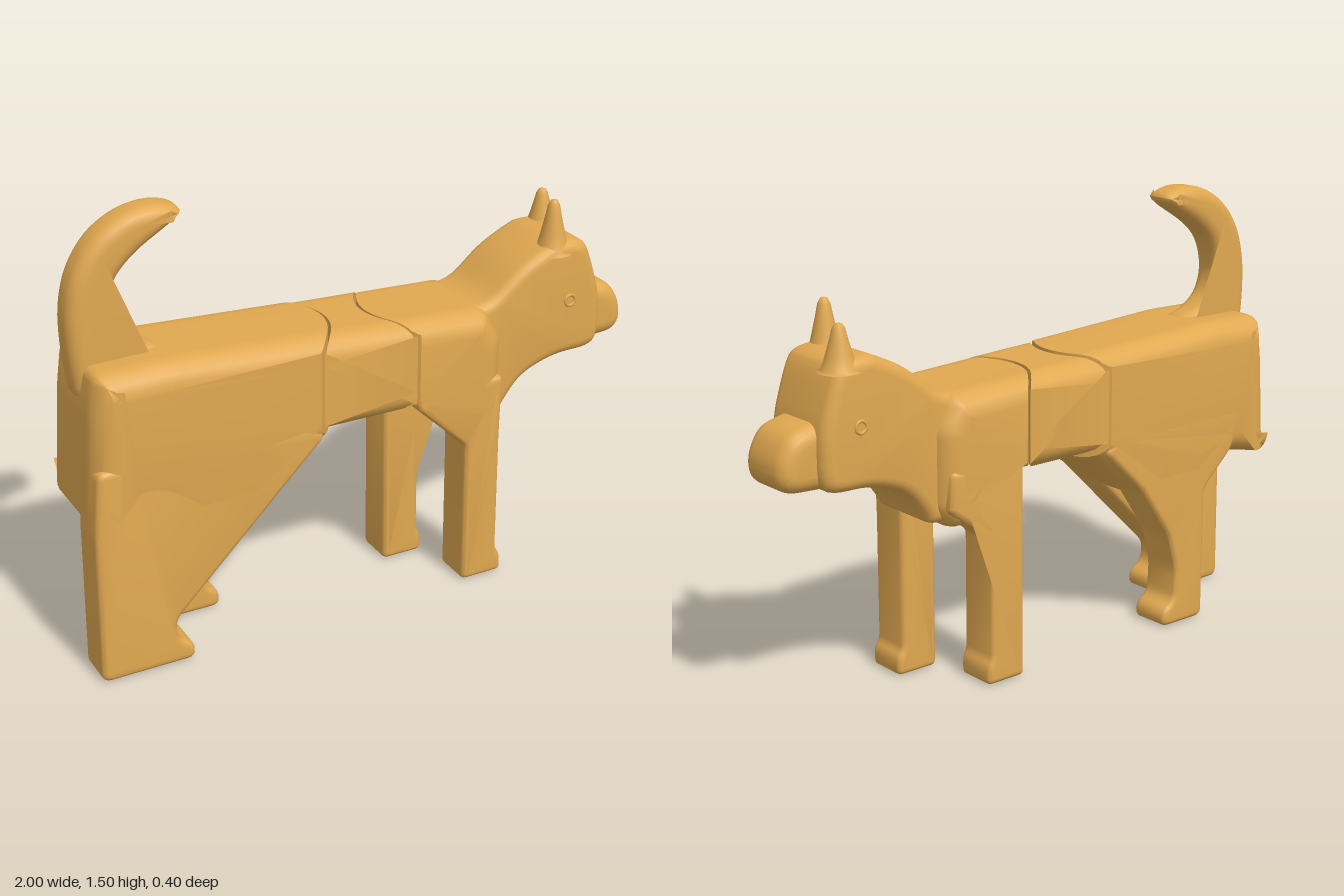
import * as THREE from 'three';
import { toCreasedNormals } from 'three/addons/utils/BufferGeometryUtils.js';

const material = new THREE.MeshStandardMaterial({ color: 0xe0a850 });

// Closed outline whose corners are rounded by up to r
function roundedShape(points, r) {
  const p = points.map(([x, y]) => new THREE.Vector2(x, y));
  const shape = new THREE.Shape();
  p.forEach((corner, i) => {
    const prev = p[(i + p.length - 1) % p.length];
    const next = p[(i + 1) % p.length];
    const toward = (q) => corner.clone().lerp(q, Math.min(0.45, r / corner.distanceTo(q)));
    const a = toward(prev), b = toward(next);
    if (i === 0) shape.moveTo(a.x, a.y);
    else shape.lineTo(a.x, a.y);
    shape.quadraticCurveTo(corner.x, corner.y, b.x, b.y);
  });
  shape.closePath();
  return shape;
}

// Side outline extruded from z0 to z1 with rounded edges; rule may bend the vertices
function slab(name, points, z0, z1, { r = 0.04, bevel = 0.02, steps = 1, rule } = {}) {
  const geometry = new THREE.ExtrudeGeometry(roundedShape(points, r), {
    depth: z1 - z0 - 2 * bevel, steps, curveSegments: 4,
    bevelEnabled: true, bevelThickness: bevel, bevelSize: bevel, bevelOffset: -bevel, bevelSegments: 5,
  });
  geometry.translate(0, 0, z0 + bevel);
  if (rule) {
    const pos = geometry.attributes.position;
    for (let i = 0; i < pos.count; i++) pos.setX(i, rule(pos.getX(i), pos.getZ(i)));
  }
  const mesh = new THREE.Mesh(toCreasedNormals(geometry, 0.6), material);
  mesh.name = name;
  return mesh;
}

// Curved joints between the three body sections
const bow = (z) => 0.1 * (z / 0.2) ** 2;
const rearCut = (z) => -0.12 - bow(z);
const frontCut = (z) => 0.04 + bow(z);
const GAP = 0.012;

function ear(x, z, height) {
  const profile = [[0.07, -0.05], [0.056, 0], [0.042, 0.3], [0.028, 0.65], [0.02, 0.88], [0.012, 0.97], [0, 1]]
    .map(([r, h]) => new THREE.Vector2(r, h * height));
  const mesh = new THREE.Mesh(new THREE.LatheGeometry(profile, 20), material);
  mesh.position.set(x, 1.12, z);
  mesh.name = 'ear';
  return mesh;
}

export function createModel() {
  const model = new THREE.Group();
  const body = { bevel: 0.08, steps: 14, r: 0.03 };

  // Body sections
  model.add(slab('rearBody', [
    [-0.12, 0.69], [-0.12, 1.015], [-0.72, 1.045], [-0.95, 1.04], [-0.97, 0.9],
    [-0.995, 0.53], [-0.8, 0.57], [-0.66, 0.47], [-0.42, 0.47], [-0.22, 0.69],
  ], -0.2, 0.2, { ...body, rule: (x, z) => (x > -0.31 ? rearCut(z) : x) }));
  model.add(slab('middleBody', [
    [-0.2, 0.685], [0.13, 0.685], [0.13, 1.0], [-0.2, 1.012],
  ], -0.2, 0.2, { ...body, rule: (x, z) => (x < -0.04 ? rearCut(z) + GAP : frontCut(z) - GAP) }));
  model.add(slab('frontBody', [
    [0.04, 0.69], [0.21, 0.69], [0.33, 0.55], [0.42, 0.55], [0.47, 0.62],
    [0.47, 0.88], [0.41, 0.985], [0.04, 1.0],
  ], -0.2, 0.2, { ...body, rule: (x, z) => (x < 0.17 ? frontCut(z) : x) }));

  // Hind legs, staggered, each running up into a haunch
  model.add(slab('nearHindLeg', [
    [-1, 0], [-0.68, 0], [-0.68, 0.055], [-0.735, 0.085], [-0.74, 0.155],
    [-0.37, 0.52], [-0.2, 0.685], [-0.26, 0.74], [-0.9, 0.74], [-0.975, 0.74], [-0.995, 0.52],
  ], 0.05, 0.2, { r: 0.03 }));
  model.add(slab('farHindLeg', [
    [-0.67, 0], [-0.48, 0], [-0.48, 0.055], [-0.53, 0.09], [-0.535, 0.2], [-0.5, 0.33],
    [-0.37, 0.52], [-0.2, 0.685], [-0.26, 0.74], [-0.85, 0.74], [-0.8, 0.59], [-0.67, 0.47],
  ], -0.2, -0.05, { r: 0.03 }));

  // Front legs, staggered, each running up into a shoulder
  model.add(slab('nearFrontLeg', [
    [0.32, 0], [0.475, 0], [0.475, 0.06], [0.455, 0.09], [0.455, 0.52], [0.46, 0.75],
    [0.17, 0.75], [0.14, 0.69], [0.32, 0.52],
  ], 0.05, 0.2, { r: 0.02 }));
  model.add(slab('farFrontLeg', [
    [0.15, 0], [0.3, 0], [0.3, 0.06], [0.285, 0.09], [0.285, 0.5], [0.45, 0.62],
    [0.44, 0.75], [0.15, 0.75],
  ], -0.2, -0.05, { r: 0.02 }));

  // Neck and skull
  const head = new THREE.Group();
  head.name = 'head';
  head.add(slab('neckAndSkull', [
    [0.3, 0.985], [0.43, 0.985], [0.55, 1.09], [0.65, 1.14], [0.7, 1.16], [0.8, 1.15], [0.83, 1.1],
    [0.88, 0.94], [0.88, 0.78], [0.84, 0.745], [0.7, 0.745], [0.57, 0.7], [0.5, 0.61], [0.48, 0.57], [0.3, 0.57],
  ], -0.15, 0.15, { bevel: 0.04, r: 0.06 }));
  head.add(slab('muzzle', [
    [0.76, 0.75], [0.88, 0.755], [0.97, 0.76], [1.004, 0.8], [1.0, 0.87], [0.955, 0.945], [0.87, 0.965], [0.76, 0.99],
  ], -0.11, 0.11, { bevel: 0.05, r: 0.05 }));
  head.add(ear(0.7, 0.095, 0.175), ear(0.78, -0.095, 0.14));

  // Eyes: small raised rims
  for (const side of [1, -1]) {
    const eye = new THREE.Mesh(new THREE.TorusGeometry(0.019, 0.006, 8, 20), material);
    eye.position.set(0.745, 0.945, side * 0.149);
    eye.name = 'eye';
    head.add(eye);
  }
  model.add(head);

  // Curled tail
  model.add(slab('tail', [
    [-0.97, 0.9], [-0.72, 0.98], [-0.68, 1.045], [-0.76, 1.06], [-0.83, 1.11], [-0.855, 1.19], [-0.83, 1.29],
    [-0.76, 1.36], [-0.6, 1.455], [-0.61, 1.485], [-0.69, 1.505], [-0.79, 1.49], [-0.89, 1.43], [-0.96, 1.33],
    [-0.99, 1.21], [-0.99, 1.08],
  ], -0.065, 0.065, { bevel: 0.045, r: 0.06 }));

  return model;
}
